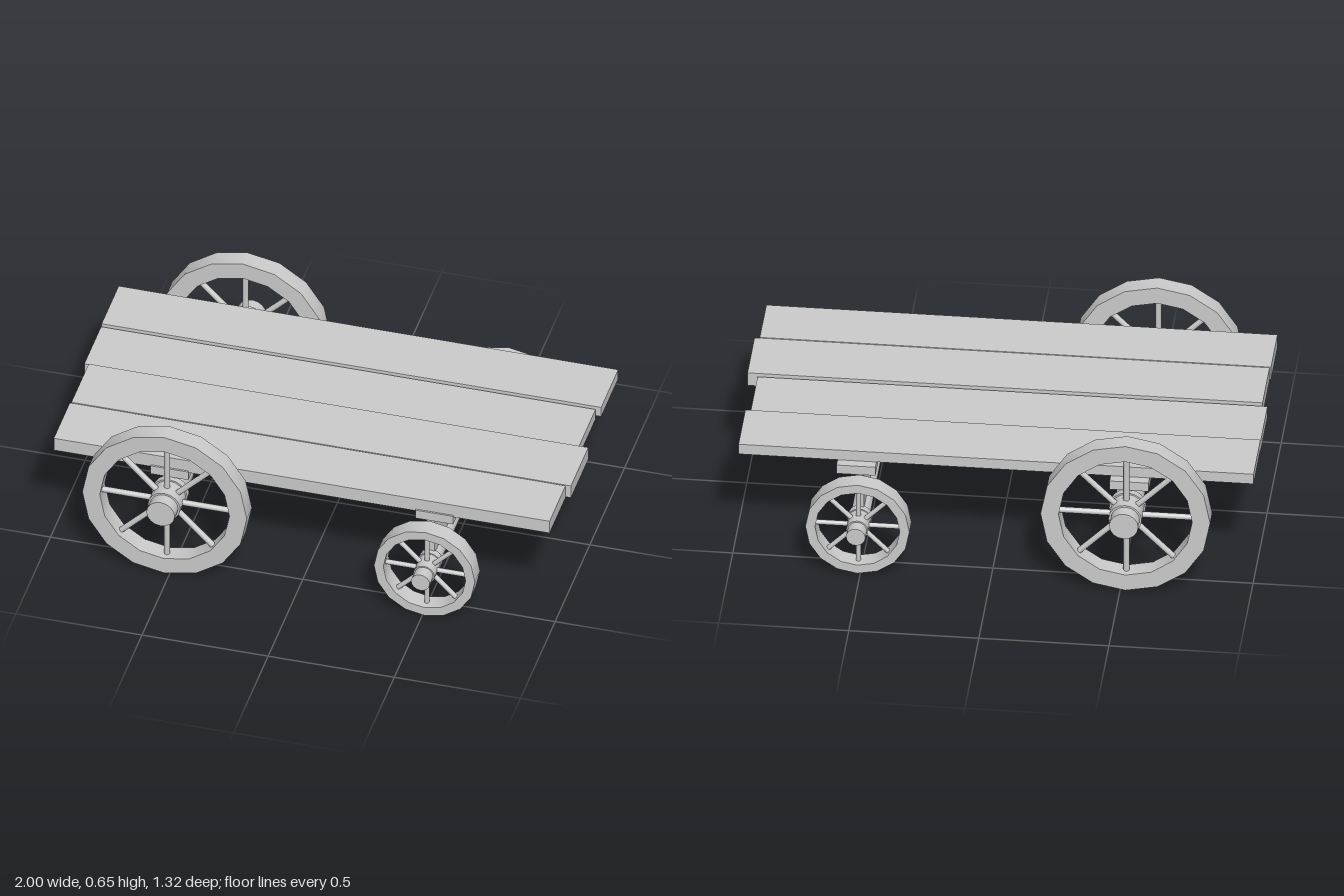
import * as THREE from 'three';
import { toCreasedNormals } from 'three/addons/utils/BufferGeometryUtils.js';

const material = new THREE.MeshStandardMaterial({ color: 0xcccccc });

function add(parent, name, geometry, x = 0, y = 0, z = 0) {
  const mesh = new THREE.Mesh(geometry, material);
  mesh.name = name;
  mesh.position.set(x, y, z);
  parent.add(mesh);
  return mesh;
}

// Revolves a [radius, z] profile around the z axis, keeping hard edges
function turned(profile, sides) {
  const points = profile.map(([r, z]) => new THREE.Vector2(r, z));
  const geometry = new THREE.LatheGeometry(points, sides).rotateX(Math.PI / 2);
  return toCreasedNormals(geometry, 0.6);
}

// Spoked wheel whose outer side faces +z
function makeWheel({ outer, inner, hub, spoke }) {
  const wheel = new THREE.Group();
  const h = 0.037;
  add(wheel, 'rim', turned([[outer, -h], [outer, h], [inner, h], [inner, -h], [outer, -h]], 16));
  // stepped hub: inner collar, body, protruding cap
  add(wheel, 'hub', turned([
    [0, -0.063], [hub * 1.25, -0.063], [hub * 1.25, -0.035], [hub * 1.14, -0.035],
    [hub * 1.14, 0.045], [hub, 0.045], [hub, 0.095], [0, 0.095],
  ], 16));
  const start = hub * 0.8, end = inner + 0.012;
  for (let i = 0; i < 8; i++) {
    const geometry = new THREE.CylinderGeometry(spoke, spoke, end - start, 8);
    geometry.translate(0, (start + end) / 2, 0).rotateZ(i * Math.PI / 4);
    add(wheel, 'spoke', geometry);
  }
  return wheel;
}

export function createModel() {
  const cart = new THREE.Group();
  cart.name = 'flatCart';

  // Deck planks: x range, y range, z range
  const planks = [
    [-0.985, 0.98, 0.43, 0.487, 0.277, 0.508],
    [-0.98, 1.0, 0.43, 0.487, 0.022, 0.272],
    [-1.0, 0.96, 0.43, 0.477, -0.228, 0.014],
    [-1.0, 0.98, 0.441, 0.485, -0.482, -0.236],
  ];
  for (const [x0, x1, y0, y1, z0, z1] of planks) {
    add(cart, 'deckPlank', new THREE.BoxGeometry(x1 - x0, y1 - y0, z1 - z0),
      (x0 + x1) / 2, (y0 + y1) / 2, (z0 + z1) / 2);
  }

  // Running gear: large wheels at -x, small wheels at +x
  const gears = [
    { name: 'large', x: -0.52, y: 0.328, outer: 0.326, inner: 0.257, hub: 0.056, spoke: 0.012, axle: 0.055 },
    { name: 'small', x: 0.51, y: 0.208, outer: 0.2, inner: 0.163, hub: 0.037, spoke: 0.01, axle: 0.037 },
  ];
  for (const gear of gears) {
    const { name, x, y, axle } = gear;
    const bolsterX = Math.sign(x) * 0.525;
    add(cart, name + 'WheelAxle', new THREE.CylinderGeometry(axle, axle, 1.08, 16).rotateX(Math.PI / 2), x, y);
    add(cart, name + 'WheelBolster', new THREE.BoxGeometry(0.15, 0.038, 1.03), bolsterX, 0.419);
    // upright board joining axle and bolster
    add(cart, name + 'WheelUpright', new THREE.BoxGeometry(0.03, 0.405 - y, 1.02), x, (0.405 + y) / 2);
    for (const side of [1, -1]) {
      const wheel = makeWheel(gear);
      wheel.name = name + (side > 0 ? 'LeftWheel' : 'RightWheel').replace('Left', 'Front').replace('Right', 'Back');
      wheel.position.set(x, y, side * 0.565);
      if (side < 0) wheel.rotation.y = Math.PI;
      cart.add(wheel);
    }
  }
  return cart;
}
